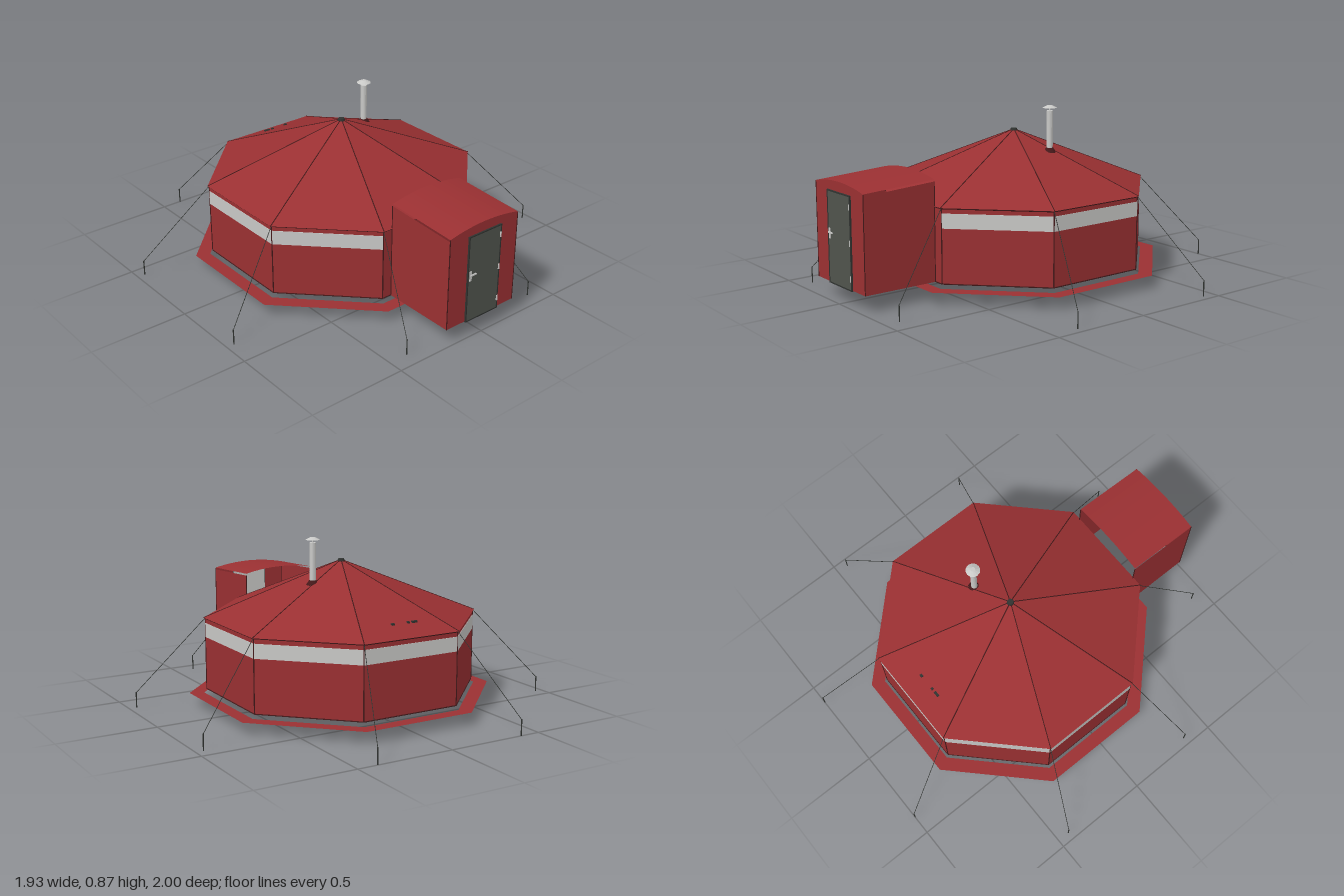
import * as THREE from 'three';

const mat = (name, color, double = false) => {
  const m = new THREE.MeshStandardMaterial({ color, side: double ? THREE.DoubleSide : THREE.FrontSide, flatShading: true });
  m.name = name;
  return m;
};

export function createModel() {
  const red = mat('red canvas', 0x9a3032, true);
  const seam = mat('dark red seam', 0x45191a);
  const white = mat('light grey', 0xc8c8c6);
  const green = mat('grey green door', 0x50544d);
  const dark = mat('dark metal', 0x303330);
  const brown = mat('brown floor', 0x866448, true);

  const model = new THREE.Group();
  const tent = new THREE.Group();
  tent.name = 'tent';
  tent.position.z = -0.038;
  const porch = new THREE.Group();
  porch.name = 'porch';
  model.add(tent, porch);

  const add = (parent, name, geo, material, x = 0, y = 0, z = 0) => {
    const m = new THREE.Mesh(geo, material);
    m.name = name;
    m.position.set(x, y, z);
    parent.add(m);
    return m;
  };
  // thin round bar between two points
  const rod = (parent, name, a, b, r, material) => {
    const d = b.clone().sub(a);
    const m = add(parent, name, new THREE.CylinderGeometry(r, r, d.length(), 6), material);
    m.position.copy(a).add(b).multiplyScalar(0.5);
    m.quaternion.setFromUnitVectors(new THREE.Vector3(0, 1, 0), d.normalize());
    return m;
  };
  const V = (x, y, z) => new THREE.Vector3(x, y, z);

  const A = 0.634, STEP = Math.PI / 4, K = Math.cos(STEP / 2);
  const R = A / K;
  const FLOOR = 0.085, EAVE = 0.452, APEX = 0.725;
  const corner = (i, r, y) => {
    const a = (i + 0.5) * STEP;
    return V(Math.sin(a) * r, y, Math.cos(a) * r);
  };
  const octagon = (r, Type = THREE.Shape) =>
    new Type([...Array(8).keys()].map(i => { const c = corner(i, r, 0); return new THREE.Vector2(c.x, c.z); }));

  // walls, roof, floor and ground skirt
  add(tent, 'wall', new THREE.CylinderGeometry(R, R, EAVE - FLOOR, 8, 1, true, STEP / 2), red, 0, (EAVE + FLOOR) / 2);
  add(tent, 'roof', new THREE.CylinderGeometry(0.012, 0.642 / K, APEX - EAVE, 8, 1, true, STEP / 2), red, 0, (APEX + EAVE) / 2);
  add(tent, 'floor', new THREE.ShapeGeometry(octagon(R)).rotateX(Math.PI / 2), brown, 0, FLOOR);
  const skirt = octagon(0.715 / K);
  skirt.holes.push(octagon(0.647 / K, THREE.Path));
  add(tent, 'groundSkirt', new THREE.ShapeGeometry(skirt).rotateX(Math.PI / 2), red, 0, 0.065);
  add(tent, 'roofCap', new THREE.CylinderGeometry(0.016, 0.02, 0.018, 8), dark, 0, APEX);

  // seams, ropes, stakes and pale bands around the octagon
  const side = 2 * A * Math.tan(STEP / 2);
  for (let i = 0; i < 8; i++) {
    rod(tent, 'wallSeam', corner(i, R, FLOOR), corner(i, R, EAVE), 0.003, seam);
    rod(tent, 'roofSeam', corner(i, 0.642 / K, EAVE), corner(i, 0.012, APEX), 0.0025, seam);
    rod(tent, 'eaveTrim', corner(i, R, EAVE - 0.002), corner(i + 1, R, EAVE - 0.002), 0.005, seam);
    rod(tent, 'baseTrim', corner(i, R, FLOOR), corner(i + 1, R, FLOOR), 0.003, seam);
    rod(tent, 'guyRope', corner(i, R, EAVE), corner(i, 1.04, 0.078), 0.0016, dark);
    rod(tent, 'stake', corner(i, 1.04, 0), corner(i, 1.04, 0.08), 0.003, dark);
    if (i > 0) {
      const a = i * STEP;
      add(tent, 'wallBand', new THREE.BoxGeometry(side, 0.072, 0.004), white,
        Math.sin(a) * A, 0.389, Math.cos(a) * A).rotation.y = a;
    }
  }

  // small vents on the back slope
  for (const [x, w] of [[-0.08, 0.03], [-0.045, 0.012], [0.042, 0.016]]) {
    add(tent, 'roofVent', new THREE.BoxGeometry(w, 0.016, 0.012), dark, x, 0.497, -0.535);
  }

  // chimney
  const chimney = new THREE.Group();
  chimney.name = 'chimney';
  chimney.position.set(0.203, 0, -0.105);
  model.add(chimney);
  add(chimney, 'chimneyFlange', new THREE.CylinderGeometry(0.018, 0.033, 0.024, 12), seam, 0, 0.642);
  add(chimney, 'chimneyPipe', new THREE.CylinderGeometry(0.016, 0.016, 0.205, 16), white, 0, 0.737);
  add(chimney, 'chimneyCapStem', new THREE.CylinderGeometry(0.004, 0.004, 0.02, 6), white, 0, 0.847);
  add(chimney, 'chimneyCap', new THREE.CylinderGeometry(0.012, 0.036, 0.012, 12), white, 0, 0.86);

  // porch: sloping arched roof over open-backed walls
  const W = 0.213, BACK = 0.6, FRONT = 0.985;
  const top = (x, z) => 0.557 + 0.024 * (1 - (x / W) ** 2) + 0.022 * (FRONT - z) / (FRONT - BACK);
  const arch = new THREE.PlaneGeometry(2 * W, FRONT - BACK, 14, 1).rotateX(-Math.PI / 2);
  arch.translate(0, 0, (FRONT + BACK) / 2);
  const p = arch.attributes.position;
  for (let i = 0; i < p.count; i++) p.setY(i, top(p.getX(i), p.getZ(i)));
  arch.computeVertexNormals();
  add(porch, 'porchRoof', arch, red);

  const sideShape = new THREE.Shape([[BACK, FLOOR], [FRONT, FLOOR], [FRONT, 0.546], [BACK, 0.569]]
    .map(q => new THREE.Vector2(...q)));
  for (const s of [-1, 1]) {
    add(porch, 'porchSide', new THREE.ShapeGeometry(sideShape).rotateY(-Math.PI / 2), red, s * W);
    rod(porch, 'porchSeam', V(s * W, FLOOR, FRONT), V(s * W, 0.555, FRONT), 0.0025, seam);
    rod(porch, 'porchSeam', V(s * W, FLOOR, BACK), V(s * W, 0.569, BACK), 0.0025, seam);
  }
  const front = new THREE.Shape();
  front.moveTo(-W, FLOOR).lineTo(W, FLOOR);
  for (let i = 14; i >= 0; i--) {
    const x = W * (i / 7 - 1);
    front.lineTo(x, top(x, FRONT));
  }
  add(porch, 'porchFront', new THREE.ShapeGeometry(front), red, 0, 0, FRONT);

  // door with frame, pale inner face, hinges and handle
  const DX = 0.003, DW = 0.2, DH = 0.445, DY = FLOOR + DH / 2;
  add(porch, 'door', new THREE.BoxGeometry(DW, DH, 0.006), green, DX, DY, FRONT + 0.003);
  add(porch, 'doorInside', new THREE.BoxGeometry(DW, DH, 0.004), white, DX, DY, FRONT - 0.003);
  for (const s of [-1, 1]) {
    add(porch, 'doorJamb', new THREE.BoxGeometry(0.006, DH, 0.01), dark, DX + s * DW / 2, DY, FRONT + 0.003);
    add(porch, 'doorRail', new THREE.BoxGeometry(DW + 0.006, 0.006, 0.01), dark, DX, DY + s * DH / 2, FRONT + 0.003);
  }
  for (const y of [0.14, 0.31, 0.48]) {
    add(porch, 'hinge', new THREE.BoxGeometry(0.006, 0.028, 0.006), white, DX + DW / 2 - 0.003, y, FRONT + 0.008);
  }
  add(porch, 'handlePlate', new THREE.BoxGeometry(0.012, 0.05, 0.004), white, -0.082, 0.325, FRONT + 0.008);
  add(porch, 'handleLever', new THREE.BoxGeometry(0.036, 0.007, 0.006), white, -0.068, 0.33, FRONT + 0.012);

  return model;
}
